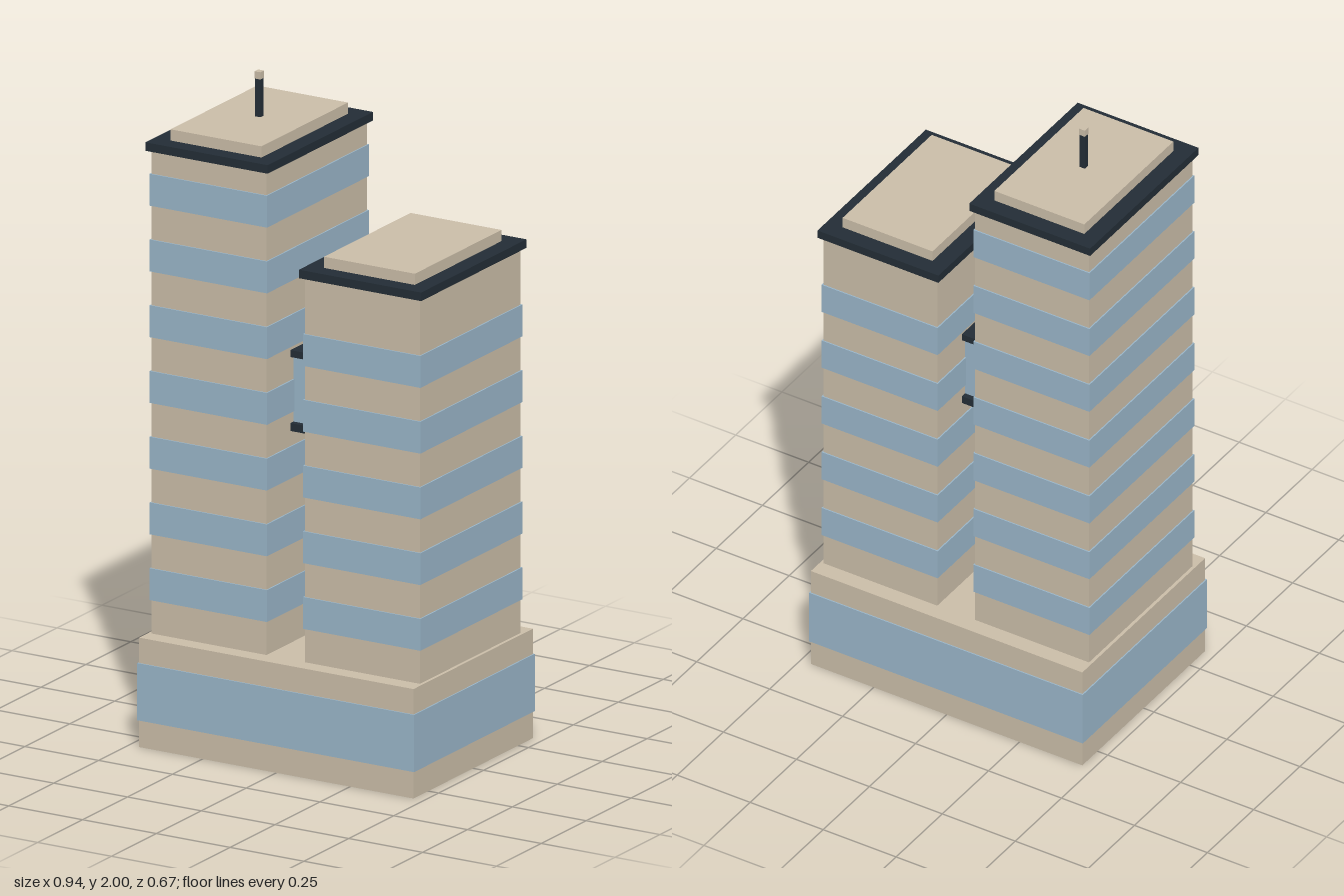
import * as THREE from 'three';

export function createModel() {
  const model = new THREE.Group();
  model.name = 'twinTowers';

  const material = (name, color) => {
    const m = new THREE.MeshStandardMaterial({ color });
    m.name = name;
    return m;
  };
  const stone = material('sandstone', 0xcabda8);
  const glass = material('blueGlass', 0x99b5c8);
  const dark = material('darkTrim', 0x232d36);

  // Box given by its size, centre x and bottom/top heights, centred on z = 0
  const box = (parent, name, mat, x, width, depth, bottom, top) => {
    const mesh = new THREE.Mesh(new THREE.BoxGeometry(width, top - bottom, depth), mat);
    mesh.position.set(x, (bottom + top) / 2, 0);
    mesh.name = name;
    parent.add(mesh);
  };

  // Shared base with a tall glazed band
  const podium = new THREE.Group();
  podium.name = 'podium';
  box(podium, 'podiumWalls', stone, 0, 0.93, 0.664, 0, 0.333);
  box(podium, 'podiumWindows', glass, 0, 0.938, 0.672, 0.082, 0.256);
  model.add(podium);

  // Tower with window bands, overhanging roof slab and raised roof block
  const addTower = (name, x, roofY, bands) => {
    const tower = new THREE.Group();
    tower.name = name;
    box(tower, 'towerWalls', stone, x, 0.39, 0.56, 0.333, roofY);
    for (let i = 0; i < bands; i++) {
      const y = 0.435 + 0.2 * i;
      box(tower, 'windowBand', glass, x, 0.398, 0.568, y, y + 0.097);
    }
    box(tower, 'roofSlab', dark, x, 0.414, 0.586, roofY, roofY + 0.026);
    box(tower, 'roofBlock', stone, x, 0.308, 0.482, roofY + 0.026, roofY + 0.06);
    model.add(tower);
    return tower;
  };
  const tallTower = addTower('tallTower', -0.26, 1.803, 7);
  addTower('shortTower', 0.26, 1.503, 5);

  // Mast on the tall tower
  box(tallTower, 'mast', dark, -0.26, 0.018, 0.018, 1.863, 1.978);
  box(tallTower, 'mastTip', stone, -0.26, 0.02, 0.02, 1.978, 2);

  // Glazed bridge between the towers
  const bridge = new THREE.Group();
  bridge.name = 'skyBridge';
  box(bridge, 'bridgeFloor', dark, 0, 0.13, 0.294, 0.978, 1.002);
  box(bridge, 'bridgeGlass', glass, 0, 0.13, 0.26, 1.002, 1.203);
  box(bridge, 'bridgeRoof', dark, 0, 0.13, 0.294, 1.203, 1.224);
  model.add(bridge);

  return model;
}
